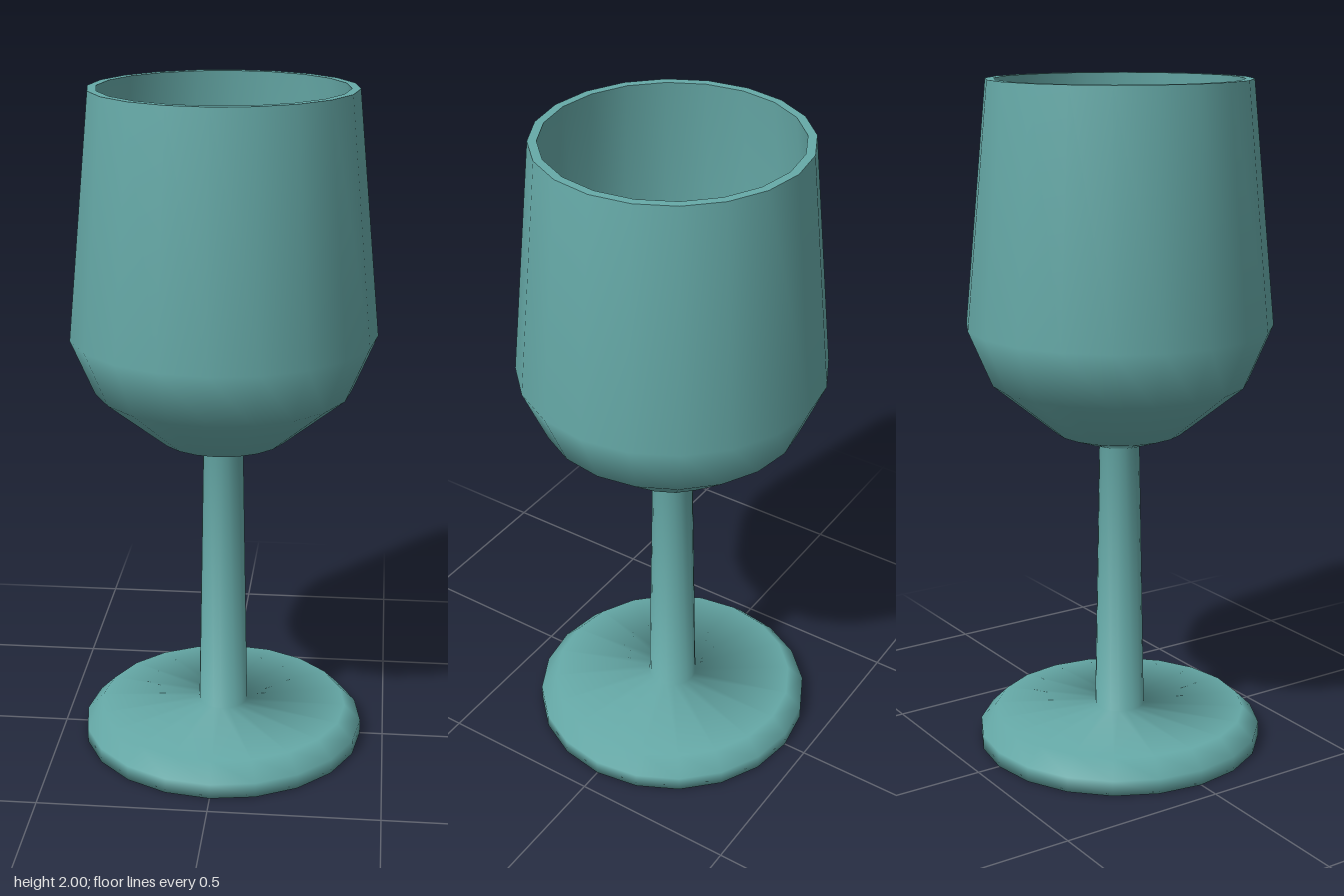
import * as THREE from 'three';

const SIDES = 20;

// Smooth lathe of a [radius, height] profile
function lathe(profile) {
  return new THREE.LatheGeometry(profile.map(([r, y]) => new THREE.Vector2(r, y)), SIDES);
}

// Keeps only the bands from profile point a to b, so neighbouring parts share smooth normals
function bands(geometry, count, a, b) {
  const part = geometry.clone();
  const src = geometry.index.array;
  const index = [];
  for (let s = 0; s < SIDES; s++) {
    const start = s * (count - 1);
    index.push(...src.slice((start + a) * 6, (start + b) * 6));
  }
  part.setIndex(index);
  return part;
}

export function createModel() {
  const group = new THREE.Group();
  const teal = new THREE.MeshStandardMaterial({ color: 0x66aaa8 });
  const add = (name, geometry) => {
    const mesh = new THREE.Mesh(geometry, teal);
    mesh.name = name;
    group.add(mesh);
  };

  // Outside skin, from the underside of the foot up to the rim
  const outside = [
    [0, 0], [0.43, 0], [0.43, 0.045], [0.38, 0.095], [0.075, 0.105],
    [0.06, 0.93], [0.19, 0.975], [0.38, 1.13], [0.45, 1.295], [0.382, 2],
  ];
  const skin = lathe(outside);
  add('foot', bands(skin, outside.length, 0, 4));
  add('stem', bands(skin, outside.length, 4, 5));
  add('bowlOutside', bands(skin, outside.length, 5, 9));

  // Flat lip with sharp edges
  add('rim', lathe([[0.382, 2], [0.357, 2]]));

  // Inside of the bowl, running down to its centre
  add('bowlInside', lathe([
    [0.357, 2], [0.424, 1.3], [0.36, 1.147], [0.18, 1], [0.05, 0.955], [0, 0.955],
  ]));

  return group;
}
